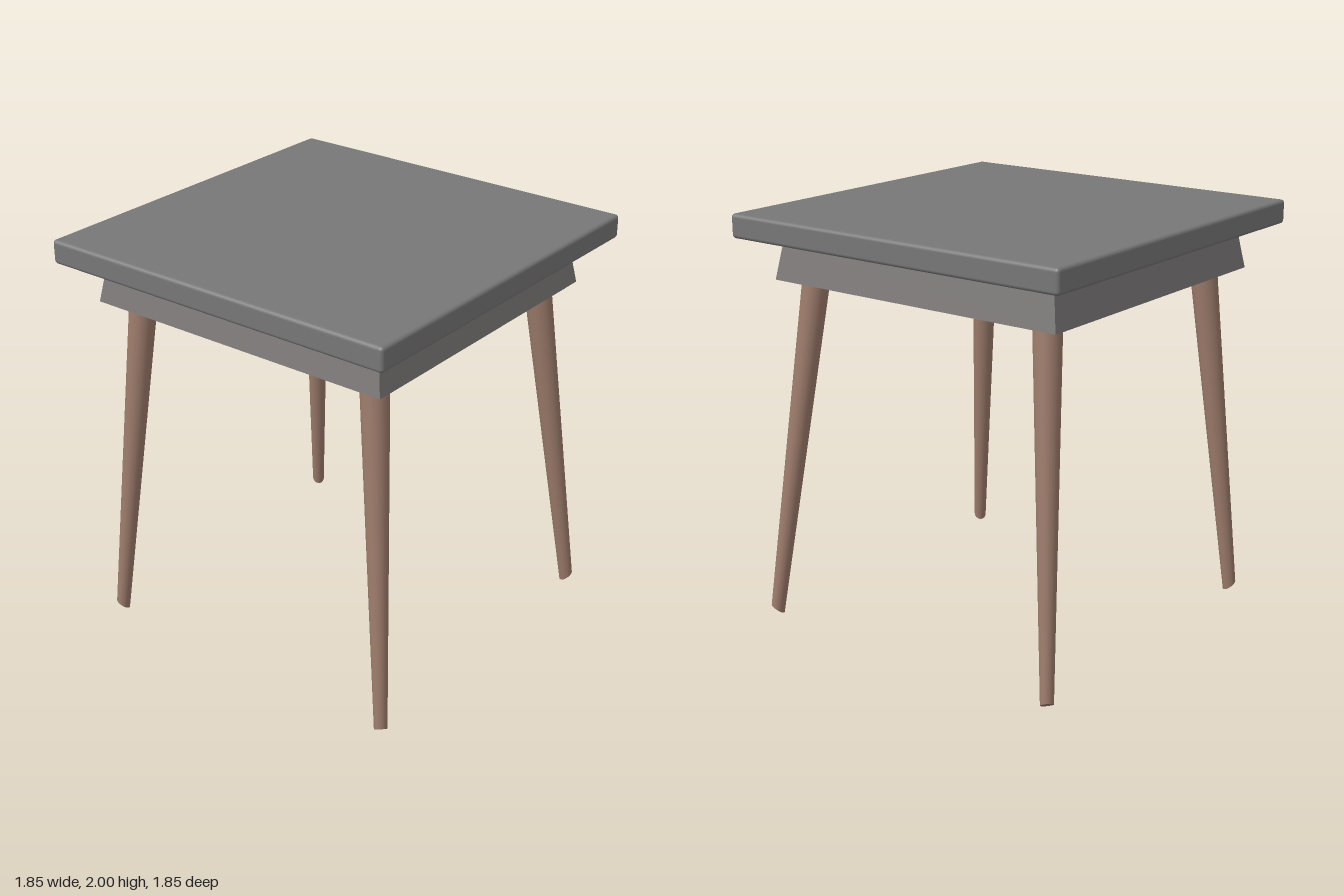
import * as THREE from 'three';
import { RoundedBoxGeometry } from 'three/addons/geometries/RoundedBoxGeometry.js';

const APRON_BOTTOM = 1.68;
const TOP_BOTTOM = 1.885;

const topMaterial = new THREE.MeshStandardMaterial({ color: 0x777777 });
const apronMaterial = new THREE.MeshStandardMaterial({ color: 0x7d7a79 });
const legMaterial = new THREE.MeshStandardMaterial({ color: 0x9c7b6b });

// Move every vertex of a geometry by a rule
function deform(geometry, rule) {
  const pos = geometry.attributes.position;
  const v = new THREE.Vector3();
  for (let i = 0; i < pos.count; i++) {
    rule(v.fromBufferAttribute(pos, i));
    pos.setXYZ(i, v.x, v.y, v.z);
  }
  geometry.computeVertexNormals();
  return geometry;
}

function rectangle(path, halfX, halfZ) {
  path.moveTo(-halfX, -halfZ);
  path.lineTo(halfX, -halfZ);
  path.lineTo(halfX, halfZ);
  path.lineTo(-halfX, halfZ);
  path.closePath();
  return path;
}

// Open frame under the top, leaning inward as it rises
function createApron() {
  const height = TOP_BOTTOM - APRON_BOTTOM;
  const wall = 0.03, inset = 0.035;
  const shape = rectangle(new THREE.Shape(), 0.772, 0.802);
  shape.holes.push(rectangle(new THREE.Path(), 0.772 - wall, 0.802 - wall));
  const geometry = new THREE.ExtrudeGeometry(shape, { depth: height, bevelEnabled: false });
  geometry.rotateX(-Math.PI / 2);
  deform(geometry, (v) => {
    const t = v.y / height;
    v.x -= Math.sign(v.x) * inset * t;
    v.z -= Math.sign(v.z) * inset * t;
    v.y += APRON_BOTTOM;
  });
  return new THREE.Mesh(geometry, apronMaterial);
}

// Tapered, splayed leg whose foot is cut on a slant rising outward.
// foot and knee are the [x, z] centres at the floor and at the apron's lower edge.
function createLeg(foot, knee) {
  const cut = 0.5, footRadius = 0.031;
  const geometry = new THREE.CylinderGeometry(0.07, footRadius, TOP_BOTTOM, 24);
  const outX = Math.sign(foot[0]), outZ = Math.sign(foot[1]);
  return new THREE.Mesh(deform(geometry, (v) => {
    const y = v.y + TOP_BOTTOM / 2;
    const low = 1 - y / TOP_BOTTOM;
    const lift = cut * (outX * v.x + outZ * v.z + footRadius * Math.SQRT2);
    const s = y / APRON_BOTTOM;
    v.x += foot[0] + (knee[0] - foot[0]) * s;
    v.z += foot[1] + (knee[1] - foot[1]) * s;
    v.y = y + low * lift;
  }), legMaterial);
}

export function createModel() {
  const table = new THREE.Group();
  table.name = 'table';

  // Square top with softened edges
  const thickness = 2 - TOP_BOTTOM;
  const top = new THREE.Mesh(new RoundedBoxGeometry(1.845, thickness, 1.845, 4, 0.018), topMaterial);
  top.position.y = 2 - thickness / 2;
  top.name = 'tabletop';
  table.add(top);

  const apron = createApron();
  apron.name = 'apron';
  table.add(apron);

  // Legs, each with a slightly different splay
  const legs = [
    ['frontLeftLeg', [0.825, 0.835], [0.635, 0.672]],
    ['frontRightLeg', [-0.78, 0.835], [-0.635, 0.672]],
    ['backLeftLeg', [0.828, -0.812], [0.635, -0.662]],
    ['backRightLeg', [-0.776, -0.79], [-0.642, -0.65]],
  ];
  for (const [name, foot, knee] of legs) {
    const leg = createLeg(foot, knee);
    leg.name = name;
    table.add(leg);
  }
  return table;
}
